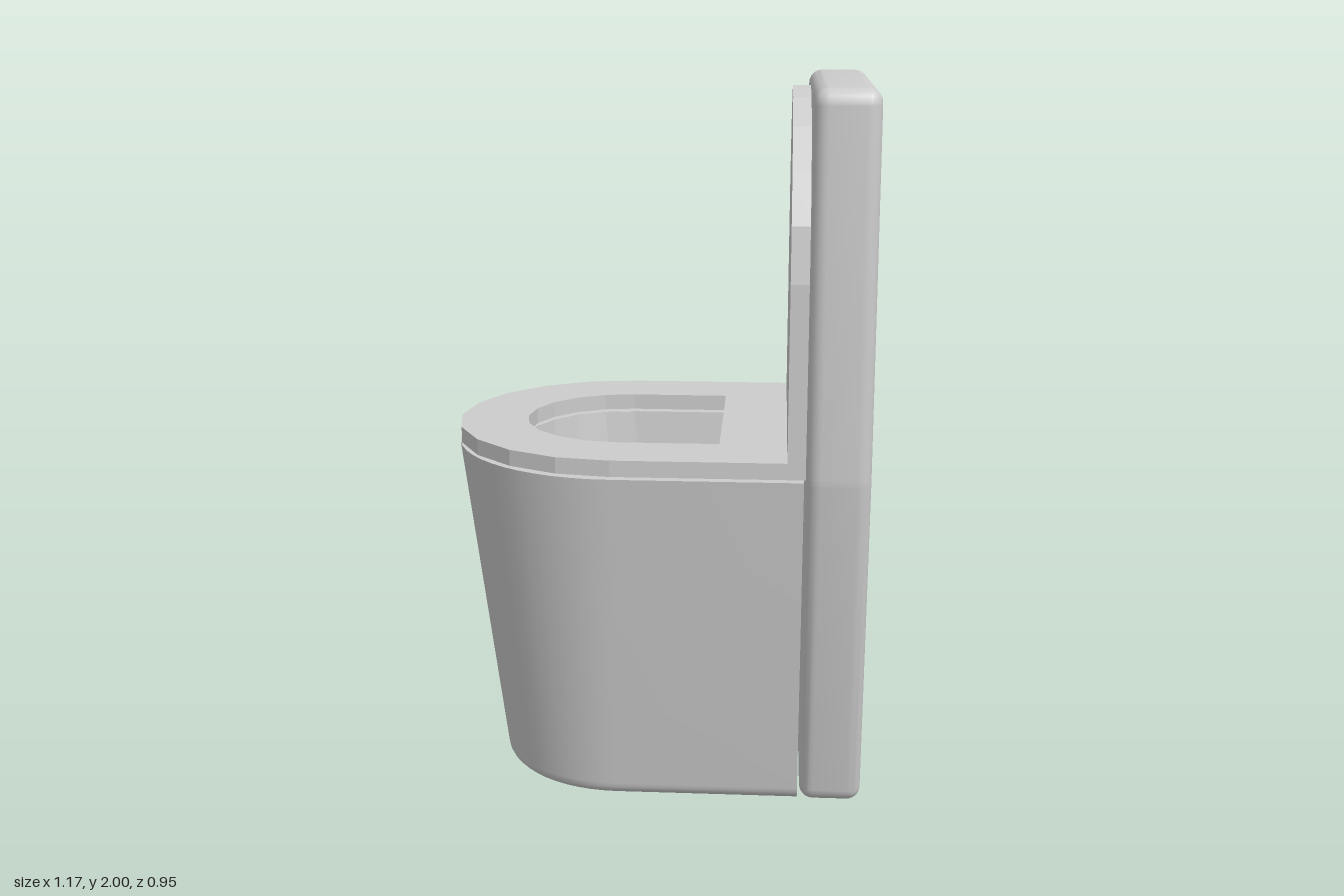
import * as THREE from 'three';
import { toCreasedNormals } from 'three/addons/utils/BufferGeometryUtils.js';

// D-shaped ring: straight sides, curved front (towards -x), flat back
function ring([y, front, back, half, cx], n) {
  const pts = [[back, y, -half]];
  for (let i = 0; i <= n; i++) {
    const a = (i / n) * Math.PI;
    pts.push([cx - (cx - front) * Math.sin(a), y, -half * Math.cos(a)]);
  }
  pts.push([back, y, half]);
  return pts;
}

// Skin a list of rings [y, front, back, halfWidth, curveCentre]
function loft(rows, n, crease) {
  const rings = rows.map((r) => ring(r, n));
  const pos = [];
  for (let i = 0; i < rings.length - 1; i++) {
    const m = rings[i].length;
    for (let j = 0; j < m; j++) {
      const k = (j + 1) % m;
      const a = rings[i][j], b = rings[i][k], c = rings[i + 1][k], d = rings[i + 1][j];
      pos.push(...a, ...b, ...c, ...a, ...c, ...d);
    }
  }
  const g = new THREE.BufferGeometry();
  g.setAttribute('position', new THREE.Float32BufferAttribute(pos, 3));
  g.computeVertexNormals();
  return crease ? toCreasedNormals(g, crease) : g;
}

// Polygon with rounded corners
function roundedShape(pts, r) {
  const s = new THREE.Shape();
  pts.forEach((p, i) => {
    const prev = pts[(i + pts.length - 1) % pts.length], next = pts[(i + 1) % pts.length];
    const a = p.clone().add(prev.clone().sub(p).setLength(r));
    const b = p.clone().add(next.clone().sub(p).setLength(r));
    if (i === 0) s.moveTo(a.x, a.y); else s.lineTo(a.x, a.y);
    s.quadraticCurveTo(p.x, p.y, b.x, b.y);
  });
  s.closePath();
  return s;
}

export function createModel() {
  const model = new THREE.Group();
  const ceramic = new THREE.MeshStandardMaterial({ color: 0xcccccc });
  ceramic.name = 'ceramic grey';
  const add = (name, geometry) => {
    const mesh = new THREE.Mesh(geometry, ceramic);
    mesh.name = name;
    model.add(mesh);
    return mesh;
  };

  // Tank: tapered slab with rounded edges
  const bevel = 0.038;
  const outline = [[-0.315, bevel], [0.315, bevel], [0.436, 0.975], [0.436, 2 - bevel], [-0.436, 2 - bevel], [-0.436, 0.975]]
    .map(([x, y]) => new THREE.Vector2(x, y));
  const tank = new THREE.ExtrudeGeometry(roundedShape(outline, 0.008), {
    depth: 0.172 - 2 * bevel, bevelEnabled: true, bevelSize: bevel, bevelThickness: bevel, bevelSegments: 6, curveSegments: 5,
  });
  tank.rotateY(Math.PI / 2).translate(0.411 + bevel, 0, 0);
  add('tank', toCreasedNormals(tank, 0.6));

  // Bowl body: tapered D with a rounded foot and an open top
  const back = 0.405;
  const rows = [[0.004, -0.1, -0.1, 0, -0.1]];
  for (let i = 0; i <= 5; i++) {
    const a = (i / 5) * Math.PI / 2, inset = 0.04 * (1 - Math.sin(a));
    rows.push([0.004 + 0.04 * (1 - Math.cos(a)), -0.465 + inset, back, 0.355 - inset, -0.11]);
  }
  rows.push([0.977, -0.585, back, 0.473, -0.11], [0.977, -0.39, 0.175, 0.285, -0.105]);
  add('bowl', loft(rows, 28, 0.6));

  // Inside of the bowl
  add('basin', loft([
    [0.977, -0.39, 0.175, 0.285, -0.105],
    [0.55, -0.36, 0.135, 0.242, -0.06],
    [0.55, -0.1, -0.1, 0, -0.1],
  ], 10));

  // Seat ring
  const hole = [-0.39, 0.175, 0.285, -0.105], rim = [-0.585, 0.36, 0.473, -0.11];
  add('seat', loft([
    [0.985, ...hole], [0.985, ...rim], [1.03, ...rim], [1.03, ...hole], [0.985, ...hole],
  ], 10));

  // Raised lid: same outline, solid, standing against the tank
  const face = [-0.585, 0.41, 0.473, -0.11], centre = [-0.1, -0.1, 0, -0.1];
  const lid = add('lid', loft([[0, ...centre], [0, ...face], [0.049, ...face], [0.049, ...centre]], 10));
  lid.rotation.z = -Math.PI / 2;
  lid.position.set(0.36, 1.395, 0);

  return model;
}
